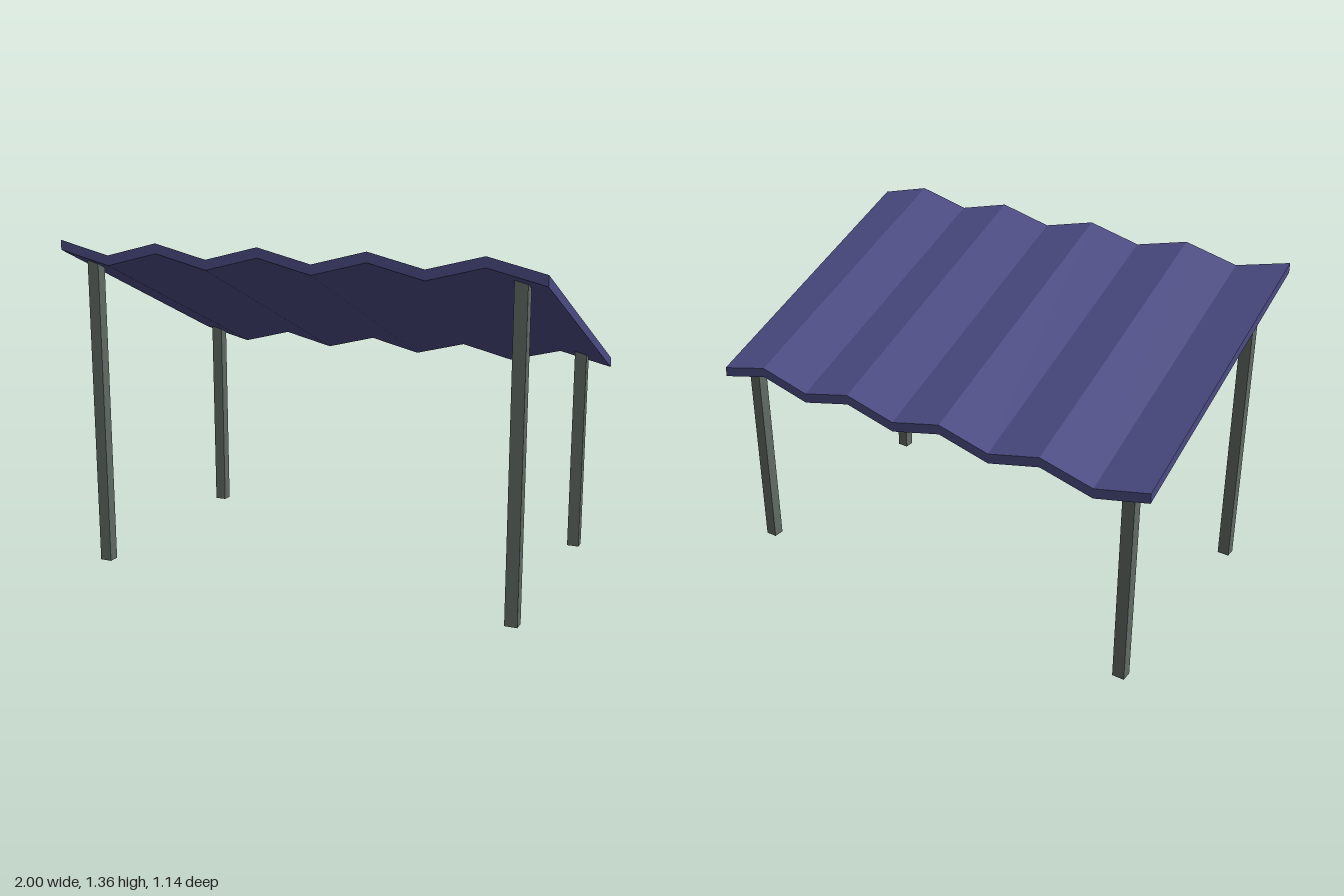
import * as THREE from 'three';

const SLOPE = 0.412; // rise of the roof towards the front
const HALF_DEPTH = 0.57;
const FOLDS = 9;

// Zigzag sheet, extruded along z and then sheared to slope down to the back
function roofGeometry() {
  const high = 1.125, low = 1.07, thickness = 0.04;
  const top = [], bottom = [];
  for (let i = 0; i <= FOLDS; i++) {
    const x = -1 + (2 * i) / FOLDS;
    const y = i % 2 ? low : high;
    top.push(new THREE.Vector2(x, y));
    bottom.push(new THREE.Vector2(x, y - thickness));
  }
  const shape = new THREE.Shape([...bottom, ...top.reverse()]);
  const geometry = new THREE.ExtrudeGeometry(shape, { depth: 2 * HALF_DEPTH, bevelEnabled: false });
  geometry.translate(0, 0, -HALF_DEPTH);
  const p = geometry.attributes.position;
  for (let i = 0; i < p.count; i++) p.setY(i, p.getY(i) + SLOPE * p.getZ(i));
  geometry.computeVertexNormals();
  return geometry;
}

export function createModel() {
  const model = new THREE.Group();
  model.name = 'canopy';
  const roofBlue = new THREE.MeshStandardMaterial({ color: 0x4c4c85 });
  roofBlue.name = 'roofBlue';
  const postGrey = new THREE.MeshStandardMaterial({ color: 0x606a64 });
  postGrey.name = 'postGrey';

  const roof = new THREE.Mesh(roofGeometry(), roofBlue);
  roof.name = 'corrugatedRoof';
  model.add(roof);

  // Four posts, their tops hidden inside the roof sheet
  for (const [row, z, height] of [['front', 0.492, 1.28], ['back', -0.492, 0.873]]) {
    for (const [side, x] of [['Left', 0.89], ['Right', -0.89]]) {
      const post = new THREE.Mesh(new THREE.BoxGeometry(0.05, height, 0.045), postGrey);
      post.position.set(x, height / 2, z);
      post.name = row + side + 'Post';
      model.add(post);
    }
  }
  return model;
}
